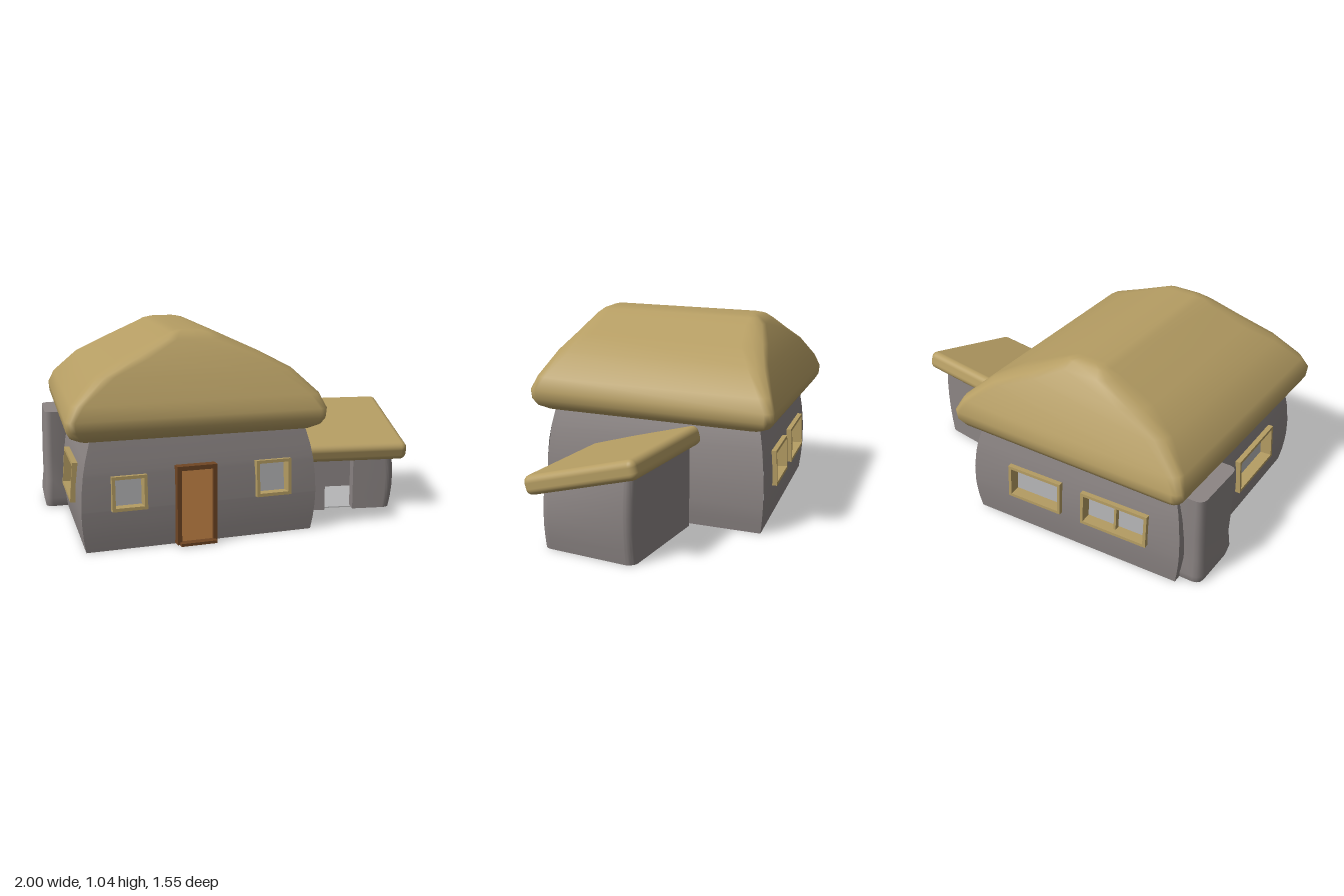
import * as THREE from 'three';
import { mergeVertices, toCreasedNormals } from 'three/addons/utils/BufferGeometryUtils.js';
import { RoundedBoxGeometry } from 'three/addons/geometries/RoundedBoxGeometry.js';

const mat = (name, color, side = THREE.FrontSide) => {
  const m = new THREE.MeshStandardMaterial({ color, side });
  m.name = name;
  return m;
};

// Skewed plans: u runs along the front, v towards the front; the roof and walls differ slightly
const plan = (ux, uz, vx, vz) => (u, v, y) => new THREE.Vector3(-0.25 + ux * u + vx * v, y, uz * u + vz * v);
const roofPlan = plan(0.989, -0.148, 0.074, 0.997);
const wallPlan = plan(0.984, -0.179, 0.099, 0.995);

// Wall half sizes at height y, swelling in the middle
const bulge = (y) => 0.197 * y - 0.467 * y * y;
const halfU = (y) => 0.588 + bulge(y);
const halfV = (y) => 0.598 + 0.7 * bulge(y);

// Wall surfaces; s runs to the right seen from outside, from -0.6 to 0.6
const WALLS = {
  front: (s, y) => wallPlan((s / 0.6) * halfU(y), halfV(y), y),
  right: (s, y) => wallPlan(halfU(y), (-s / 0.6) * halfV(y), y),
  back: (s, y) => wallPlan((-s / 0.6) * halfU(y), -halfV(y), y),
  left: (s, y) => wallPlan(-halfU(y), (s / 0.6) * halfV(y), y),
};

// Window openings per wall: s0, s1, y0, y1
const OPENINGS = {
  front: [[-0.458, -0.285, 0.2, 0.37], [0.275, 0.46, 0.205, 0.39]],
  right: [],
  back: [[-0.37, -0.06, 0.19, 0.38], [0.06, 0.43, 0.19, 0.38]],
  left: [[-0.02, 0.36, 0.19, 0.39]],
};

function geometryFrom(positions, index) {
  const g = new THREE.BufferGeometry();
  g.setAttribute('position', new THREE.Float32BufferAttribute(positions, 3));
  g.setIndex(index);
  g.computeVertexNormals();
  return g;
}

// Grid wall with the cells inside openings left out
function wallGeometry(point, holes) {
  const sorted = (list) => [...new Set(list)].sort((a, b) => a - b);
  const ss = sorted([-0.6, -0.57, 0.57, 0.6, ...holes.flatMap((h) => [h[0], h[1]])]);
  const ys = sorted([0, 0.07, 0.14, 0.28, 0.45, 0.56, ...holes.flatMap((h) => [h[2], h[3]])]);
  const pos = [], idx = [], n = ss.length;
  for (const y of ys) for (const s of ss) pos.push(...point(s, y).toArray());
  for (let j = 0; j < ys.length - 1; j++) for (let i = 0; i < n - 1; i++) {
    const s = (ss[i] + ss[i + 1]) / 2, y = (ys[j] + ys[j + 1]) / 2;
    if (holes.some((h) => s > h[0] && s < h[1] && y > h[2] && y < h[3])) continue;
    const a = j * n + i;
    idx.push(a, a + 1, a + n + 1, a, a + n + 1, a + n);
  }
  return geometryFrom(pos, idx);
}

// Loft of rounded rectangles; levels are [y, half u, half v, corner radius]
function loft(levels, radius, cu = 0, cv = 0) {
  const pos = [], idx = [], n = 16;
  for (const [y, a, b, corner = radius] of levels) {
    const r = Math.min(corner, a * 0.5, b * 0.5);
    for (let c = 0; c < 4; c++) for (let k = 0; k < 4; k++) {
      const t = (c + k / 3) * Math.PI / 2;
      const su = c === 0 || c === 3 ? 1 : -1, sv = c < 2 ? 1 : -1;
      pos.push(...roofPlan(cu + su * (a - r) + r * Math.cos(t), cv + sv * (b - r) + r * Math.sin(t), y).toArray());
    }
  }
  for (let j = 0; j < levels.length - 1; j++) for (let i = 0; i < n; i++) {
    const a = j * n + i, b = j * n + (i + 1) % n;
    idx.push(a, b + n, b, a, a + n, b + n);
  }
  return geometryFrom(pos, idx);
}

export function createModel() {
  const root = new THREE.Group();
  root.name = 'cottage';
  const plaster = mat('grey plaster', 0x8c8584, THREE.DoubleSide);
  const lining = mat('pale grey lining', 0xb6b6b7);
  const thatch = mat('thatch', 0xb59d63);
  const doorWood = mat('door wood', 0xd08c4a);
  const darkWood = mat('dark wood', 0x704624);

  const add = (parent, name, geo, material, x = 0, y = 0, z = 0) => {
    const m = new THREE.Mesh(geo, material);
    m.name = name;
    m.position.set(x, y, z);
    parent.add(m);
    return m;
  };
  const box = (w, h, d) => new THREE.BoxGeometry(w, h, d);

  // Group laid flat on a wall over a rectangle
  const onWall = (name, point, [s0, s1, y0, y1]) => {
    const g = new THREE.Group();
    const sm = (s0 + s1) / 2, ym = (y0 + y1) / 2;
    const x = point(s1, ym).sub(point(s0, ym));
    const up = point(sm, y1).sub(point(sm, y0));
    const w = x.length(), h = up.length();
    x.normalize();
    const z = new THREE.Vector3().crossVectors(x, up).normalize();
    g.quaternion.setFromRotationMatrix(new THREE.Matrix4().makeBasis(x, z.clone().cross(x), z));
    g.position.copy(point(sm, ym));
    g.name = name;
    root.add(g);
    return { g, w, h };
  };
  const sideBars = (g, w, h, t, d, material, z) => {
    for (const k of [-1, 1]) add(g, 'frameSide', box(t, h, d), material, k * (w - t) / 2, 0, z);
  };

  // Walls and windows with recessed panes
  for (const [side, point] of Object.entries(WALLS)) {
    add(root, side + 'Wall', wallGeometry(point, OPENINGS[side]), plaster);
    OPENINGS[side].forEach((hole, i) => {
      const { g, w, h } = onWall(side + 'Window', point, hole);
      sideBars(g, w, h, 0.016, 0.07, thatch, -0.012);
      for (const k of [-1, 1]) add(g, 'frameRail', box(w, 0.016, 0.07), thatch, 0, k * (h - 0.016) / 2, -0.012);
      add(g, 'pane', box(w - 0.01, h - 0.01, 0.006), lining, 0, 0, -0.042);
      if (side === 'back' && i === 1) add(g, 'mullion', box(0.012, h, 0.03), thatch, 0, 0, -0.02);
    });
  }

  // Floors
  const corners = [[-1, 1], [1, 1], [1, -1], [-1, -1]]
    .flatMap(([a, b]) => wallPlan(a * 0.588, b * 0.598, 0.001).toArray());
  add(root, 'floor', geometryFrom(corners, [0, 2, 1, 0, 3, 2]), lining);
  add(root, 'leanToFloor', box(0.5, 0.006, 0.43), lining, 0.63, 0.004, -0.065);

  // Door with frame and step
  const door = onWall('door', WALLS.front, [-0.141, 0.061, 0.005, 0.4]);
  sideBars(door.g, door.w, door.h, 0.022, 0.07, darkWood, 0);
  add(door.g, 'lintel', box(door.w, 0.022, 0.072), darkWood, 0, door.h / 2 - 0.011);
  add(door.g, 'doorPanel', box(door.w - 0.04, door.h - 0.015, 0.03), doorWood, 0, -0.0075, 0.008);
  add(door.g, 'step', box(door.w - 0.02, 0.014, 0.1), darkWood, 0, -door.h / 2 + 0.007, 0.015);

  // Thatched main roof; doubled levels keep the eaves edge crisp
  add(root, 'mainRoof', loft([
    [0.54, 0, 0], [0.54, 0.592, 0.612], [0.54, 0.592, 0.612], [0.565, 0.635, 0.658],
    [0.6, 0.654, 0.68], [0.65, 0.658, 0.685], [0.72, 0.628, 0.66, 0.06], [0.84, 0.505, 0.6, 0.09],
    [0.92, 0.355, 0.555, 0.12], [1.0, 0.18, 0.505, 0.09], [1.03, 0.115, 0.465], [1.04, 0.075, 0.435], [1.04, 0, 0.4],
  ], 0.045), thatch);

  // Buttress at the back corner
  add(root, 'buttress', loft([
    [0, 0, 0], [0, 0.08, 0.15], [0, 0.08, 0.15], [0.05, 0.09, 0.165], [0.15, 0.08, 0.155],
    [0.3, 0.08, 0.165], [0.54, 0.075, 0.165], [0.54, 0.075, 0.165], [0.54, 0, 0],
  ], 0.045, -0.632, -0.385), plaster);

  // Lean-to walls: rounded C plan and a short front piece, cut to the roof slope
  const cPlan = new THREE.Shape();
  cPlan.moveTo(0.71, -0.18);
  cPlan.lineTo(0.88, -0.18);
  cPlan.absarc(0.88, -0.13, 0.05, -Math.PI / 2, 0);
  cPlan.lineTo(0.93, 0.28);
  cPlan.absarc(0.88, 0.28, 0.05, 0, Math.PI / 2);
  for (const [x, y] of [[0.34, 0.33], [0.34, 0.27], [0.87, 0.27], [0.87, -0.12], [0.71, -0.12]]) cPlan.lineTo(x, y);
  const shortPlan = new THREE.Shape([[0.36, -0.18], [0.55, -0.18], [0.55, -0.12], [0.36, -0.12]]
    .map(([x, y]) => new THREE.Vector2(x, y)));
  for (const shape of [cPlan, shortPlan]) {
    let geo = new THREE.ExtrudeGeometry(shape, { depth: 1, steps: 6, bevelEnabled: false, curveSegments: 6 });
    geo.rotateX(-Math.PI / 2);
    const p = geo.attributes.position;
    for (let i = 0; i < p.count; i++) {
      const x = p.getX(i), t = p.getY(i), z = p.getZ(i);
      p.setX(i, x + Math.max(0, x - 0.72) * 0.4 * t * (1 - t));
      p.setY(i, t * (0.41 - (z + 0.07) * 0.287));
    }
    geo.deleteAttribute('uv');
    geo.deleteAttribute('normal');
    geo = toCreasedNormals(mergeVertices(geo, 1e-4), 0.7);
    add(root, 'leanToWall', geo, plaster);
  }

  // Sloping lean-to roof
  const slab = add(root, 'leanToRoof', new RoundedBoxGeometry(0.7, 0.1, 0.64, 4, 0.035), thatch, 0.65, 0.41, -0.07);
  slab.rotation.x = 0.28;

  return root;
}
